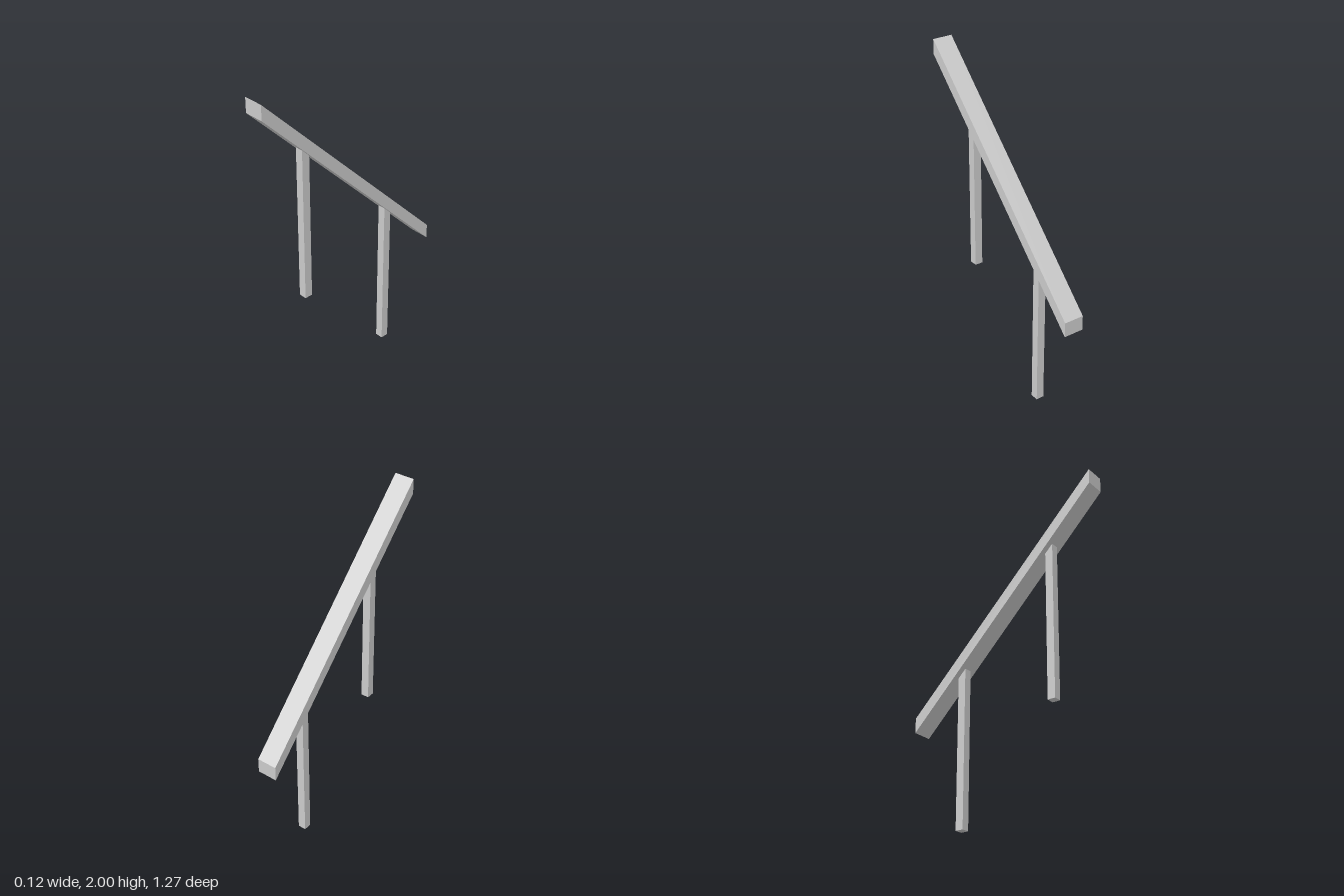
import * as THREE from 'three';

const RUN = 1.27;          // horizontal length of the rail
const UNDERSIDE = 1.273;   // height of the rail's underside at z = 0
const THICK = 0.092;       // vertical thickness of the rail

const underside = (z) => UNDERSIDE + z; // 45 degree slope

// Box whose vertex heights are set by a rule (isTop, z) => y
function slopedBox(name, width, depth, z, height) {
  const geo = new THREE.BoxGeometry(width, 1, depth).translate(0, 0, z);
  const pos = geo.attributes.position;
  for (let i = 0; i < pos.count; i++) {
    pos.setY(i, height(pos.getY(i) > 0, pos.getZ(i)));
  }
  geo.computeVertexNormals();
  const mesh = new THREE.Mesh(
    geo,
    new THREE.MeshStandardMaterial({ color: 0xcccccc, flatShading: true })
  );
  mesh.name = name;
  return mesh;
}

export function createModel() {
  const model = new THREE.Group();
  model.name = 'stairHandrail';

  // Sloping rail with vertical ends
  model.add(slopedBox('rail', 0.125, RUN, 0, (top, z) => underside(z) + (top ? THICK : 0)));

  // Two posts, one step apart, mitred to the rail's underside
  for (const [name, z, foot] of [['upperPost', 0.3175, 0.637], ['lowerPost', -0.3175, 0]]) {
    model.add(slopedBox(name, 0.05, 0.05, z, (top, vz) => (top ? underside(vz) : foot)));
  }
  return model;
}
